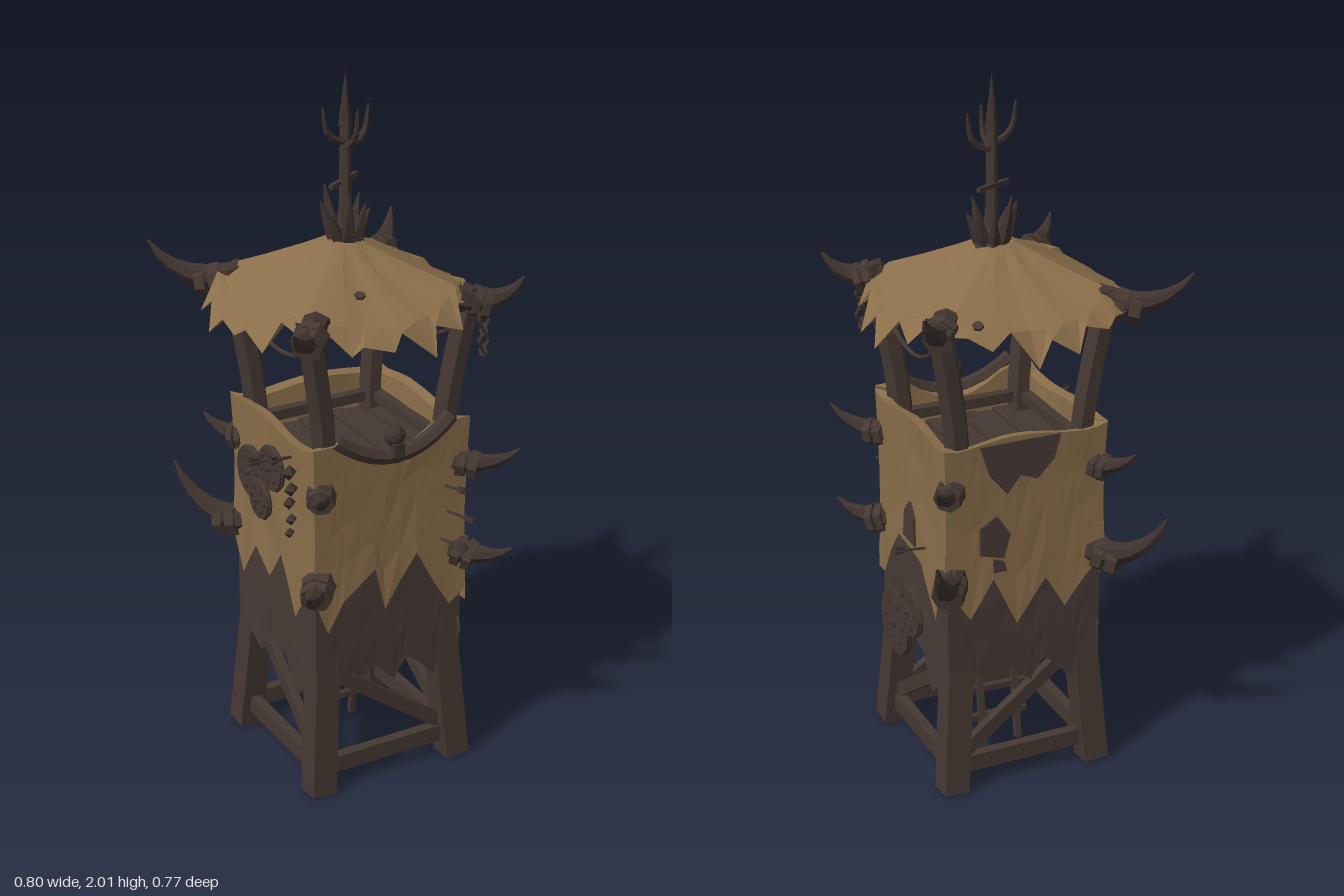
import * as THREE from 'three';

const V = (x, y, z) => new THREE.Vector3(x, y, z);
const mat = (name, color, double) => {
  const m = new THREE.MeshStandardMaterial({ color });
  m.name = name;
  if (double) m.side = THREE.DoubleSide;
  return m;
};

// Faceted mesh added to a parent
function add(parent, name, geo, material, pos) {
  const g = geo.index ? geo.toNonIndexed() : geo;
  g.computeVertexNormals();
  const m = new THREE.Mesh(g, material);
  m.name = name;
  if (pos) m.position.copy(pos);
  parent.add(m);
  return m;
}

// Square timber between two points
function beam(parent, name, a, b, w, material, h = w) {
  const m = add(parent, name, new THREE.BoxGeometry(w, h, a.distanceTo(b)), material);
  m.position.copy(a).add(b).multiplyScalar(0.5);
  const upright = Math.abs(b.y - a.y) > 0.8 * a.distanceTo(b);
  m.quaternion.setFromRotationMatrix(new THREE.Matrix4().lookAt(b, a, upright ? V(0, 0, 1) : V(0, 1, 0)));
  return m;
}

// Round bar bent through points, tapering from r0 to r1
function taper(parent, name, pts, r0, r1, material, sides = 6, steps = 7) {
  const curve = pts.length === 3 ? new THREE.QuadraticBezierCurve3(...pts) : new THREE.CatmullRomCurve3(pts);
  const g = new THREE.TubeGeometry(curve, steps, 1, sides);
  const p = g.attributes.position, v = V();
  for (let i = 0; i < p.count; i++) {
    const t = Math.floor(i / (sides + 1)) / steps, c = curve.getPointAt(t);
    v.fromBufferAttribute(p, i).sub(c).multiplyScalar(r0 + (r1 - r0) * t ** 1.4).add(c);
    p.setXYZ(i, v.x, v.y, v.z);
  }
  return add(parent, name, g, material);
}

// Short round cuff between two points
function cuff(parent, name, a, b, r, material) {
  const m = add(parent, name, new THREE.CylinderGeometry(r * 0.94, r, a.distanceTo(b), 7), material);
  m.position.copy(a).add(b).multiplyScalar(0.5);
  m.quaternion.setFromUnitVectors(V(0, 1, 0), b.clone().sub(a).normalize());
}

// Faceted skin stretched over rows of points
function skin(rows) {
  const out = [];
  for (let r = 0; r + 1 < rows.length; r++) for (let c = 0; c + 1 < rows[r].length; c++) {
    const a = rows[r][c], b = rows[r][c + 1], d = rows[r + 1][c], e = rows[r + 1][c + 1];
    for (const q of [a, d, b, b, d, e]) out.push(q.x, q.y, q.z);
  }
  const g = new THREE.BufferGeometry();
  g.setAttribute('position', new THREE.Float32BufferAttribute(out, 3));
  return g;
}

export function createModel() {
  const root = new THREE.Group();
  root.name = 'watchtower';
  const hide = mat('tan hide', 0x8a6e4a, true), cloth = mat('dark cloth', 0x483a36, true);
  const wood = mat('dark wood', 0x453832), horn = mat('dark horn', 0x3e322e);
  const body = new THREE.Group();
  body.name = 'tower';
  body.position.set(0.022, 0, 0.02);
  root.add(body);

  // Legs, roof posts and corner horns; tips of lower, upper and roof horns per corner
  const corners = [
    [-1, -1, [-0.35, 0.81, -0.4], [-0.29, 0.98, -0.32], [-0.42, 1.5, -0.375]],
    [1, -1, [0.33, 0.8, -0.39], [0.3, 0.98, -0.33], [0.34, 1.48, -0.35]],
    [1, 1, [0.325, 0.69, 0.35], [0.34, 0.99, 0.35], [0.37, 1.465, 0.295]],
    [-1, 1, [-0.33, 0.71, 0.365], [-0.28, 0.97, 0.34], [-0.365, 1.46, 0.365]]];
  for (const [x, z, lowTip, highTip, roofTip] of corners) {
    beam(body, 'leg', V(x * 0.221, 0, z * 0.224), V(x * 0.172, 0.64, z * 0.174), 0.074, wood);
    taper(body, 'roofPost', [V(x * 0.18, 0.6, z * 0.18), V(x * 0.187, 1.05, z * 0.2), V(x * 0.21, 1.22, z * 0.208),
      V(x * 0.25, 1.44, z * 0.225)], 0.036, 0.035, wood, 6, 8);
    const horns = [
      ['lowerHorn', V(x * 0.19, 0.675, z * 0.19), lowTip, 0.63, 0.044],
      ['upperHorn', V(x * 0.19, 0.935, z * 0.19), highTip, 0.915, 0.038],
      ['roofHorn', V(x * 0.215, 1.41, z * 0.215), roofTip, 1.375, 0.043]];
    for (const [name, base, end, low, r] of horns) {
      const tip = V(...end), bend = base.clone().lerp(tip, 0.7).setY(low);
      taper(body, name, [base, bend, tip], r, 0.003, horn, 7, 6);
      for (const t of [0.3, 0.52])
        cuff(body, name + 'Cuff', base.clone().lerp(bend, t), base.clone().lerp(bend, t + 0.16), r * (1.18 - t * 0.2), wood);
    }
  }

  // Hide and cloth profiles per side: [across, bottom height]
  const hideEdge = [
    [[-.243, .62], [-.2, .51], [-.15, .6], [-.05, .67], [-.02, .54], [.08, .69], [.14, .58], [.19, .5], [.243, .54]],
    [[-.243, .5], [-.2, .5], [-.14, .6], [-.09, .67], [.07, .65], [.1, .6], [.17, .52], [.2, .62], [.243, .7]],
    [[-.243, .65], [-.17, .54], [-.1, .65], [-.03, .5], [.06, .62], [.12, .52], [.18, .6], [.243, .66]],
    [[-.243, .64], [-.18, .52], [-.1, .64], [-.02, .58], [.05, .68], [.13, .52], [.2, .62], [.243, .6]]];
  const clothEdge = [
    [[-.232, .4], [-.19, .28], [-.15, .36], [-.04, .36], [.02, .3], [.06, .37], [.15, .28], [.19, .42], [.232, .45]],
    [[-.232, .25], [-.19, .35], [-.1, .3], [-.02, .38], [.06, .36], [.11, .26], [.16, .3], [.21, .38], [.232, .45]]];
  const drape = (edge, d, top, lip) => {
    const cols = [];
    edge.forEach((e, i) => {
      if (i) cols.push([(edge[i - 1][0] + e[0]) / 2, (edge[i - 1][1] + e[1]) / 2]);
      cols.push(e);
    });
    const at = (u, y, off) => V(u * off / d, y,
      off + 0.003 * Math.sin(u * 15 + y * 17) * Math.cos(u / d * Math.PI / 2));
    const rows = lip ? [cols.map(([u]) => at(u, 0.94, d - 0.035)), cols.map(([u]) => at(u, top(u) - 0.005, d - 0.03))] : [];
    for (let r = 0; r <= 4; r++) rows.push(cols.map(([u, b]) =>
      at(u, top(u) + (b - top(u)) * r / 4, d - (lip ? 0.006 * Math.sin(r / 4 * Math.PI) : 0))));
    return skin(rows);
  };
  const sides = [0, 1, 2, 3].map(k => {
    const s = new THREE.Group();
    s.name = ['front', 'right', 'back', 'left'][k] + 'Side';
    s.rotation.y = k * Math.PI / 2;
    body.add(s);
    const top = k ? u => 1.055 + 0.01 * Math.sin(u * 14 + k) + 0.25 * Math.max(0, Math.abs(u) - 0.2)
      : u => 1.068 - 0.06 * Math.max(0, 1 - (u / 0.16) ** 2);
    add(s, 'hideWall', drape(hideEdge[k], 0.243, top, true), hide);
    add(s, 'clothSkirt', drape(clothEdge[k % 2], 0.232, () => 0.78, false), cloth);
    // Bracing of the open base
    beam(s, 'bottomRail', V(-0.21, 0.07, 0.213), V(0.21, 0.07, 0.213), 0.03, wood, 0.05);
    beam(s, 'middleRail', V(-0.19, 0.36, 0.19), V(0.19, 0.36, 0.19), 0.03, wood, 0.04);
    const f = k === 1 || k === 2 ? -1 : 1;
    beam(s, 'brace', V(-0.17 * f, 0.36, 0.195), V(0.19 * f, 0.1, 0.21), 0.025, wood, 0.04);
    beam(s, 'innerRail', V(-0.2, 0.985, 0.195), V(0.2, 0.985, 0.195), 0.03, wood);
    return s;
  });

  // Thin cloth patches
  const patch = (side, name, pts) => add(side, name, new THREE.ExtrudeGeometry(
    new THREE.Shape(pts.map(p => new THREE.Vector2(...p))), { depth: 0.008, bevelEnabled: false }), cloth, V(0, 0, 0.239));
  patch(sides[1], 'sidePatch', [[-.045, .69], [.035, .685], [.03, .77], [0, .81], [-.035, .77]]);
  patch(sides[2], 'topPatch', [[-.14, 1.05], [.1, 1.05], [.08, .98], [.03, .93], [-.02, .95], [-.06, .9], [-.11, .96]]);
  patch(sides[2], 'backPatch', [[-.14, .73], [-.07, .71], [-.05, .78], [-.09, .84], [-.14, .81]]);
  patch(sides[2], 'smallPatch', [[-.1, .67], [-.06, .67], [-.07, .7], [-.1, .71]]);

  // Platform planks and joists
  for (let i = 0; i < 8; i++)
    add(body, 'plank', new THREE.BoxGeometry(0.048, 0.02, 0.42), wood, V(-0.182 + i * 0.052, 0.935 + (i % 2) * 0.006, 0));
  for (let i = 0; i < 3; i++)
    beam(body, 'floorJoist', V(-0.2, 0.915, -0.14 + i * 0.14), V(0.2, 0.915, -0.14 + i * 0.14), 0.03, wood);

  // Sagging front rim with a bony knob
  taper(body, 'frontRim', [V(-0.18, 1.085, 0.245), V(0, 0.935, 0.268), V(0.18, 1.085, 0.245)], 0.022, 0.022, wood, 6, 10);
  add(body, 'rimKnob', new THREE.IcosahedronGeometry(0.03, 1), horn, V(-0.005, 1.07, 0.26)).scale.set(1, 1, 0.9);
  add(body, 'rimKnobJaw', new THREE.BoxGeometry(0.03, 0.04, 0.025), horn, V(-0.005, 1.035, 0.275));

  // Ladder inside the base
  const ladder = new THREE.Group();
  ladder.name = 'ladder';
  body.add(ladder);
  for (const x of [-0.055, 0.055]) beam(ladder, 'ladderRail', V(x, 0.02, -0.075), V(x, 0.93, 0.06), 0.018, wood);
  for (let i = 0; i < 10; i++) {
    const y = 0.1 + i * 0.085, z = -0.075 + (y - 0.02) * 0.148;
    beam(ladder, 'rung', V(-0.09, y, z + 0.01), V(0.09, y + 0.005, z + 0.01), 0.018, wood);
  }

  // Round shields with rim, boss and studs
  const shield = (side, u, y, r, z) => {
    const g = new THREE.Group();
    g.name = 'shield';
    g.position.set(u, y, z);
    side.add(g);
    add(g, 'shieldBoard', new THREE.CylinderGeometry(r, r, 0.016, 12), wood).rotation.x = Math.PI / 2;
    add(g, 'shieldRim', new THREE.TorusGeometry(r * 0.93, 0.008, 4, 12), wood);
    add(g, 'shieldBoss', new THREE.ConeGeometry(r * 0.2, 0.02, 6), horn, V(0, 0, 0.014)).rotation.x = Math.PI / 2;
    for (let i = 0; i < 6; i++) {
      const a = i * Math.PI / 3 + u * 9;
      add(g, 'shieldStud', new THREE.BoxGeometry(0.01, 0.01, 0.012), horn, V(Math.cos(a) * r * .65, Math.sin(a) * r * .65, 0.007));
    }
  };
  shield(sides[1], -0.11, 0.38, 0.1, 0.245);
  shield(sides[1], 0.015, 0.475, 0.076, 0.254);
  shield(sides[3], -0.09, 0.88, 0.075, 0.258);
  shield(sides[3], 0.035, 0.94, 0.065, 0.26);
  shield(sides[3], -0.01, 0.83, 0.055, 0.272);
  // Trophies hanging from the left wall
  for (let i = 0; i < 5; i++)
    add(sides[3], 'hangingBone', new THREE.OctahedronGeometry(0.024 - i * 0.002), horn, V(0.14 + 0.01 * (i % 2), 0.97 - i * 0.045, 0.262));

  // Stuck arrows
  const arrow = (side, u, y, len, lean) => {
    const tail = V(u + lean, y + 0.01, 0.24 + len), nock = V(u + lean * 0.7, y + 0.007, 0.24 + len * 0.7);
    beam(side, 'arrowShaft', V(u, y, 0.23), tail, 0.006, wood);
    beam(side, 'arrowFletching', nock, tail, 0.02, horn, 0.003);
    beam(side, 'arrowFletching', nock, tail, 0.003, horn, 0.02);
  };
  arrow(sides[0], 0.17, 0.87, 0.07, 0.02);
  arrow(sides[0], 0.18, 0.79, 0.1, 0.02);
  arrow(sides[0], 0.16, 0.71, 0.1, 0.02);
  arrow(sides[1], 0.1, 0.71, 0.09, 0);
  arrow(sides[3], 0.08, 0.985, 0.11, 0);
  arrow(sides[3], 0.11, 1.0, 0.07, 0.02);

  // Draped four-panel hide roof with a ragged fringe
  const roof = new THREE.Group();
  roof.name = 'roof';
  roof.position.set(0.008, 0, 0.002);
  root.add(roof);
  const N = 40, R = 0.365, rings = [[0, 0], [.14, .01], [.3, .048], [.6, .108], [.86, .155], [1, .2]];
  const panel = a => Math.max(Math.abs(Math.cos(a)), Math.abs(Math.sin(a))); // 1 at side middles, 0.71 at corners
  const roofPoint = (a, f, drop) => V(Math.cos(a) * R * f, 1.55 - drop * panel(a), -Math.sin(a) * R * f);
  add(roof, 'roofHide', skin(rings.map(([f, drop], r) => Array.from({ length: N + 1 }, (_, i) => {
    const k = i % N, last = r === rings.length - 1;
    const tooth = last ? (k % 2 ? 0.03 : -0.04) * (1 + 0.5 * Math.sin(k * 1.7)) + 0.02 * Math.sin(k * 2.3) : 0;
    const a = (k + (last ? 0.25 * Math.sin(k * 3.1) : 0)) / N * Math.PI * 2;
    const crease = f > 0.2 && f < 0.9 ? 0.003 * Math.sin(k * 1.6) : 0;
    return roofPoint(a, f + tooth, drop + tooth * 0.7 + crease);
  }))), hide);
  // Small dark mends on the roof
  for (const [x, z] of [[-0.056, 0.2], [-0.207, -0.23], [0.18, -0.275]]) {
    const p = roofPoint(Math.atan2(-z, x), 0, 0.108 + (Math.hypot(x, z) / R - 0.6) * 0.18);
    const m = add(roof, 'roofMend', new THREE.CylinderGeometry(0.015, 0.015, 0.009, 6), cloth, V(x, p.y + 0.002, z));
    m.rotation.set(z * 1.5, 0, -x * 1.5);
  }

  // Ropes under the eaves and a chain at one corner
  for (const s of [-1, 1])
    taper(body, 'sideRope', [V(s * 0.23, 1.34, 0.21), V(s * 0.22, s > 0 ? 1.14 : 1.2, 0), V(s * 0.23, 1.36, -0.21)], 0.006, 0.006, wood, 5, 10);
  for (let i = 0; i < 4; i++)
    add(body, 'chainLink', new THREE.TorusGeometry(0.016, 0.006, 4, 6), horn, V(0.275, 1.345 - i * 0.03, 0.25)).rotation.y = i * Math.PI / 2;

  // Spire with prongs and a crown of spikes
  const spire = new THREE.Group();
  spire.name = 'spire';
  spire.position.set(0.022, 0, 0);
  root.add(spire);
  add(spire, 'spirePole', new THREE.CylinderGeometry(0.014, 0.019, 0.36, 6), wood, V(0, 1.68, 0));
  add(spire, 'spireTip', new THREE.ConeGeometry(0.019, 0.15, 6), horn, V(0, 1.925, 0));
  for (const [x, z, y] of [[-1, 0.15, 1.81], [1, -0.1, 1.795], [0.1, 0.8, 1.8]])
    taper(spire, 'spireProng', [V(0, y, 0), V(x * 0.03, y + 0.005, z * 0.03), V(x * 0.06, y + 0.03, z * 0.056),
      V(x * 0.074, y + 0.105, z * 0.066)], 0.012, 0.003, horn, 5, 6);
  beam(spire, 'spireBar', V(-0.055, 1.695, 0.02), V(0.06, 1.7, -0.045), 0.012, wood);
  add(spire, 'spireBinding', new THREE.CylinderGeometry(0.035, 0.055, 0.05, 7), wood, V(0, 1.555, 0));
  for (let i = 0; i < 8; i++) {
    const a = i * Math.PI / 4 + 0.3, c = Math.cos(a), s = Math.sin(a), h = 1.62 + 0.03 * (i % 3);
    taper(spire, 'crownSpike', [V(c * 0.025, 1.53, s * 0.025), V(c * 0.045, 1.57, s * 0.045), V(c * 0.068, h, s * 0.064)], 0.023, 0.002, horn, 5, 4);
  }
  return root;
}
